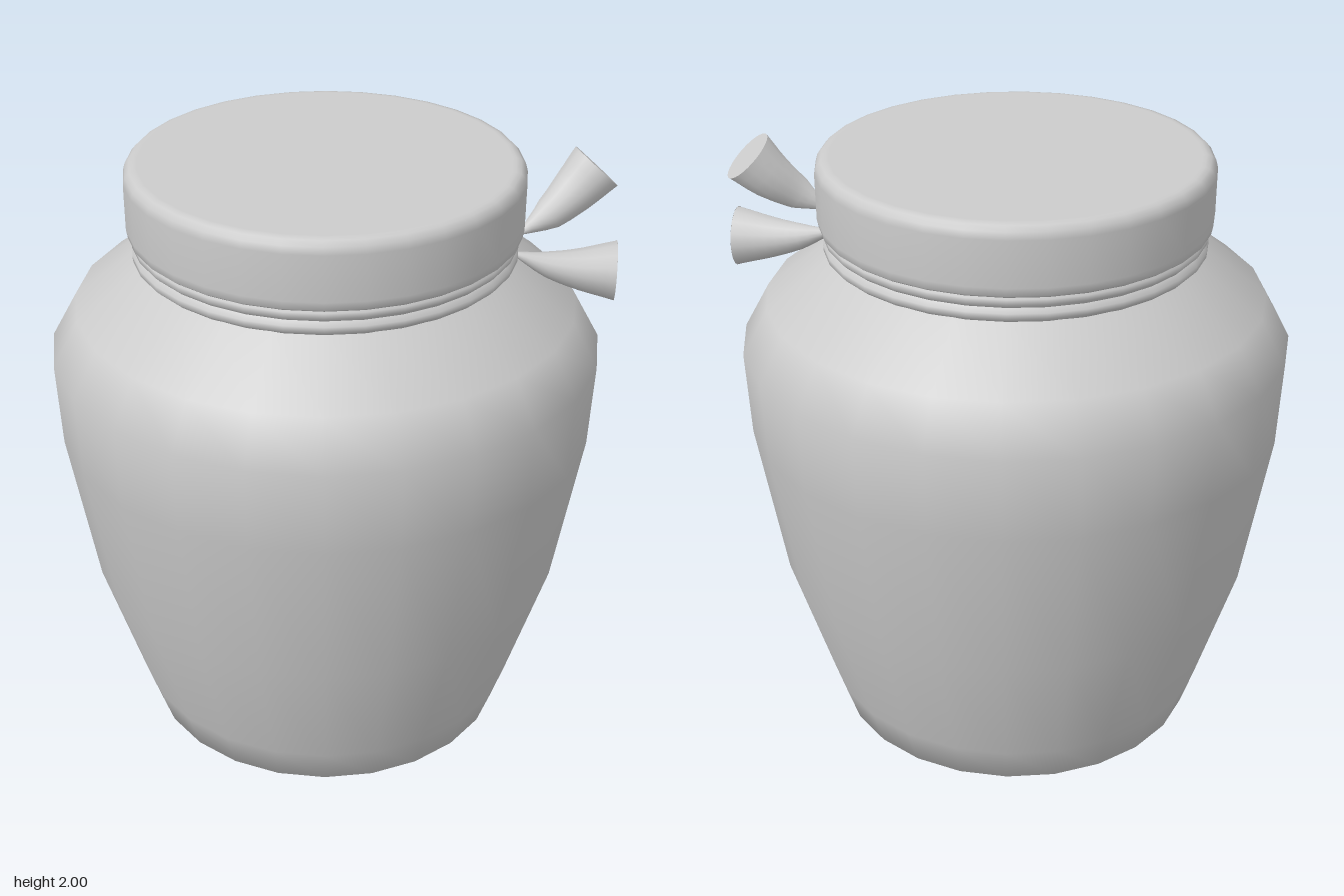
import * as THREE from 'three';

const material = new THREE.MeshStandardMaterial({ color: 0xcccccc });
const doubleMaterial = new THREE.MeshStandardMaterial({ color: 0xcccccc, side: THREE.DoubleSide });
const AXIS_X = -0.018;

// Turned part from [radius, height] pairs, listed bottom to top
function turned(name, profile, segments) {
  const points = profile.map(([r, y]) => new THREE.Vector2(r, y));
  const mesh = new THREE.Mesh(new THREE.LatheGeometry(points, segments), material);
  mesh.name = name;
  mesh.position.x = AXIS_X;
  return mesh;
}

// Flared, curved cord end: a tube whose rings widen, closed by a flat disc
function cordEnd(name, path, radii) {
  const rings = 9, sides = 14;
  const curve = new THREE.CatmullRomCurve3(path.map((p) => new THREE.Vector3(...p)));
  const tube = new THREE.TubeGeometry(curve, rings, 1, sides);
  const pos = tube.attributes.position;
  const v = new THREE.Vector3();
  for (let i = 0; i <= rings; i++) {
    const t = i / rings;
    const centre = curve.getPointAt(t);
    const s = t * (radii.length - 1);
    const k = Math.min(Math.floor(s), radii.length - 2);
    const radius = THREE.MathUtils.lerp(radii[k], radii[k + 1], s - k);
    for (let j = 0; j <= sides; j++) {
      const n = i * (sides + 1) + j;
      v.fromBufferAttribute(pos, n).sub(centre).multiplyScalar(radius).add(centre);
      pos.setXYZ(n, v.x, v.y, v.z);
    }
  }
  const group = new THREE.Group();
  group.name = name;
  const flare = new THREE.Mesh(tube, doubleMaterial);
  flare.name = name + 'Flare';
  const cap = new THREE.Mesh(new THREE.CircleGeometry(radii[radii.length - 1], 28), doubleMaterial);
  cap.name = name + 'Cap';
  cap.position.copy(curve.getPointAt(1));
  cap.quaternion.setFromUnitVectors(new THREE.Vector3(0, 0, 1), curve.getTangentAt(1));
  group.add(flare, cap);
  return group;
}

export function createModel() {
  const model = new THREE.Group();
  model.name = 'jar';

  // Rounded pot with a narrow foot and wide shoulder
  model.add(turned('body', [
    [0, 0], [0.235, 0], [0.46, 0.05], [0.575, 0.11], [0.615, 0.23], [0.74, 0.63],
    [0.825, 1.13], [0.838, 1.39], [0.76, 1.53], [0.565, 1.68], [0.55, 1.7],
  ], 24));

  // Two turns of cord around the neck
  const neck = [[0.55, 1.675]];
  for (const y of [1.7, 1.742]) {
    neck.push([0.565, y - 0.021], [0.578, y - 0.008], [0.578, y + 0.008], [0.565, y + 0.021]);
  }
  neck.push([0.55, 1.77]);
  model.add(turned('neckCord', neck, 32));

  // Lid with softened rims
  model.add(turned('lid', [
    [0.54, 1.757], [0.578, 1.757], [0.588, 1.765], [0.593, 1.79], [0.594, 1.93],
    [0.588, 1.952], [0.575, 1.966], [0.56, 1.97], [0.55, 1.97], [0, 1.97],
  ], 32));

  // Loose ends of the cord
  model.add(cordEnd('upperCordEnd',
    [[0.56, 1.76, 0.06], [0.645, 1.815, 0.04], [0.72, 1.88, 0.01], [0.778, 1.943, -0.005]],
    [0.008, 0.05, 0.07, 0.086]));
  model.add(cordEnd('lowerCordEnd',
    [[0.55, 1.685, 0.05], [0.64, 1.662, 0.068], [0.73, 1.652, 0.08], [0.842, 1.651, 0.09]],
    [0.008, 0.04, 0.065, 0.09]));

  return model;
}
